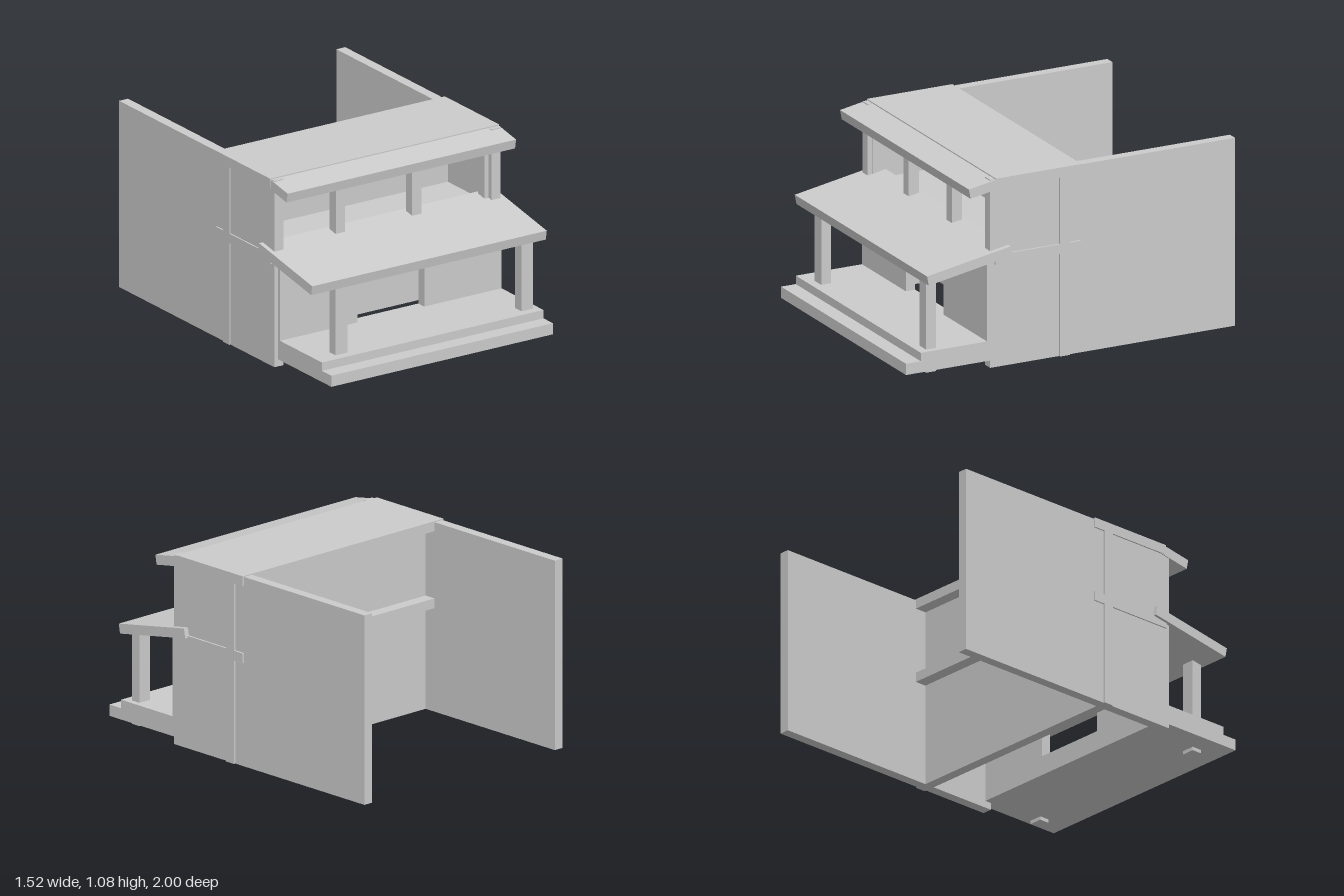
import * as THREE from 'three';

const material = new THREE.MeshStandardMaterial({ color: 0xcccccc, flatShading: true });

export function createModel() {
  const model = new THREE.Group();
  model.name = 'house';

  // Box given by its extents along each axis
  const block = (name, [x0, x1], [y0, y1], [z0, z1]) => {
    const mesh = new THREE.Mesh(new THREE.BoxGeometry(x1 - x0, y1 - y0, z1 - z0), material);
    mesh.position.set((x0 + x1) / 2, (y0 + y1) / 2, (z0 + z1) / 2);
    mesh.name = name;
    model.add(mesh);
    return mesh;
  };

  // Profile in the z-y plane, extruded along x
  const extrudeAlongX = (name, points, [x0, x1]) => {
    const shape = new THREE.Shape(points.map(([z, y]) => new THREE.Vector2(-z, y)));
    const geometry = new THREE.ExtrudeGeometry(shape, { depth: x1 - x0, bevelEnabled: false });
    geometry.rotateY(Math.PI / 2);
    const mesh = new THREE.Mesh(geometry, material);
    mesh.position.x = x0;
    mesh.name = name;
    model.add(mesh);
  };

  // Long side walls
  block('rightWall', [-0.74, -0.682], [0, 1.07], [-1, 0.49]);
  block('leftWall', [0.672, 0.73], [0, 1.07], [-1, 0.49]);

  // Cross wall and floor slabs, standing slightly proud of the side walls
  block('crossWall', [-0.748, 0.741], [0, 1.05], [0.01, 0.07]);
  block('upperFloor', [-0.748, 0.741], [0.585, 0.64], [-0.06, 0.465]);
  block('flatRoof', [-0.748, 0.741], [1.02, 1.076], [-0.06, 0.46]);

  // Ground floor front wall with a doorway
  const wall = new THREE.Shape();
  [[-0.715, 0.13], [-0.21, 0.13], [-0.21, 0.52], [0.223, 0.52], [0.223, 0.13],
    [0.725, 0.13], [0.725, 0.625], [-0.715, 0.625]]
    .forEach(([x, y], i) => (i ? wall.lineTo(x, y) : wall.moveTo(x, y)));
  const frontWall = new THREE.Mesh(
    new THREE.ExtrudeGeometry(wall, { depth: 0.057, bevelEnabled: false }), material);
  frontWall.position.z = 0.45;
  frontWall.name = 'frontWall';
  model.add(frontWall);

  // Porch deck with its front step
  extrudeAlongX('porchDeck',
    [[0.45, 0.04], [1, 0.04], [1, 0.104], [0.91, 0.104], [0.91, 0.152], [0.45, 0.152]],
    [-0.715, 0.725]);

  // Porch posts, passing through the deck
  for (const x of [-0.592, 0.615]) {
    block('porchPost', [x, x + 0.076], [0.02, 0.58], [0.8, 0.86]);
  }

  // Balcony posts
  for (const x of [-0.74, -0.322, 0.175, 0.645]) {
    block('balconyPost', [x, x + 0.06], [0.62, 1.03], [0.4, 0.462]);
  }

  // Sloping porch roof and upper eave
  extrudeAlongX('porchRoof',
    [[0.37, 0.63], [0.88, 0.54], [0.89, 0.594], [0.38, 0.684]], [-0.765, 0.76]);
  extrudeAlongX('upperEave',
    [[0.43, 1.018], [0.615, 0.986], [0.625, 1.04], [0.44, 1.073]], [-0.745, 0.74]);

  return model;
}
